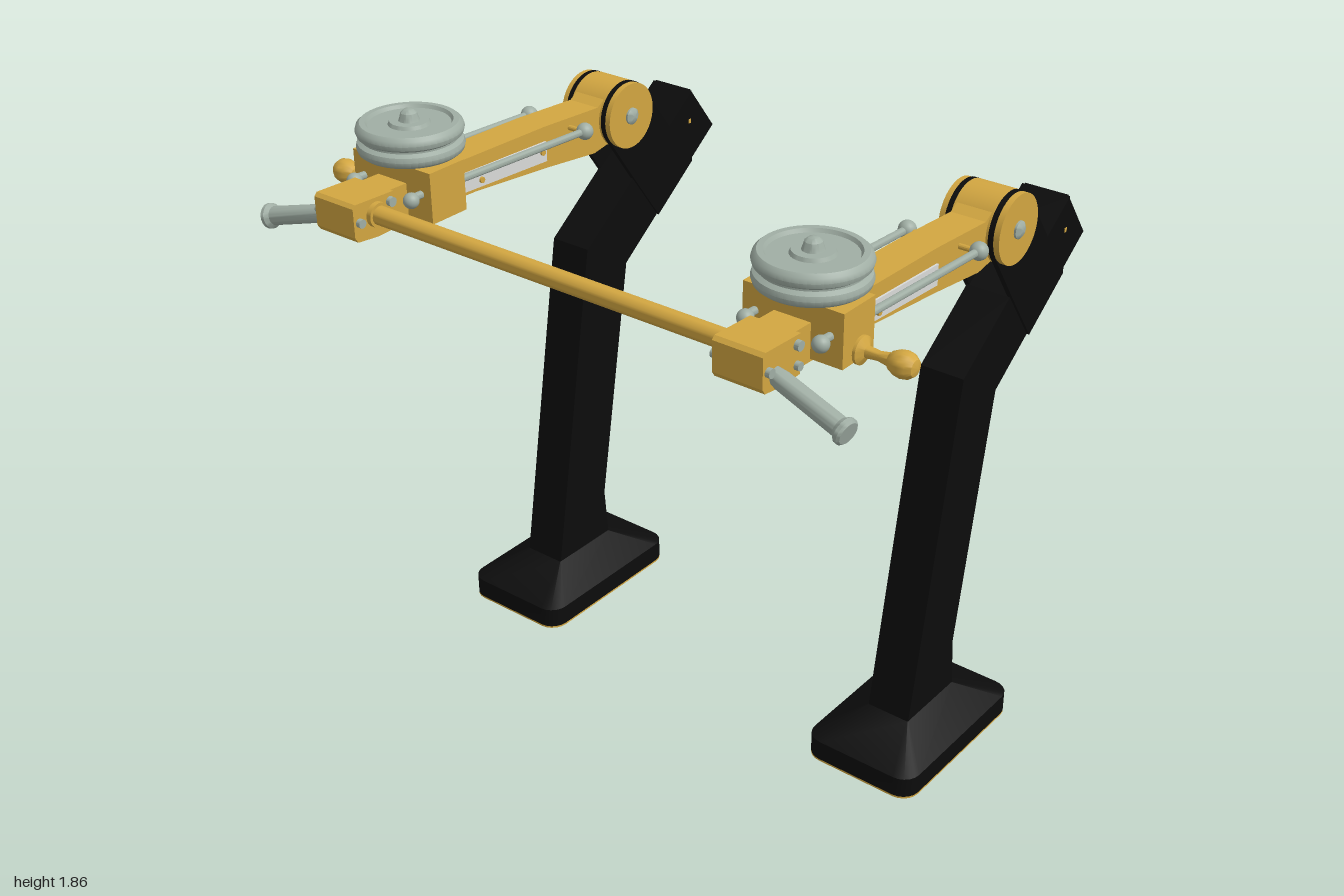
import * as THREE from 'three';
import { toCreasedNormals } from 'three/addons/utils/BufferGeometryUtils.js';

const material = (name, color) => Object.assign(new THREE.MeshStandardMaterial({ color }), { name });
const V = (x, y, z) => new THREE.Vector3(x, y, z);

// Side profile of [z, y] points, extruded along x and centred on x
function slab(points, width, x = 0) {
  const shape = new THREE.Shape(points.map(p => new THREE.Vector2(p[0], p[1])));
  const geo = new THREE.ExtrudeGeometry(shape, { depth: width, bevelEnabled: false });
  return geo.translate(0, 0, -width / 2).rotateY(-Math.PI / 2).translate(x, 0, 0);
}

// Rounded rectangular rings [halfX, halfZ, y, cornerRadius] joined into a skin
function loft(rings, cz) {
  const pos = [], index = [], n = 24;
  for (const [hx, hz, y, r] of rings) {
    for (let i = 0; i < n; i++) {
      const q = Math.floor(i / 6), a = (q + (i % 6) / 5) * Math.PI / 2;
      const sx = q === 0 || q === 3 ? 1 : -1, sz = q < 2 ? -1 : 1;
      pos.push(sx * (hx - r) + r * Math.cos(a), y, cz + sz * (hz - r) - r * Math.sin(a));
    }
  }
  for (let k = 0; k < rings.length - 1; k++) {
    for (let i = 0; i < n; i++) {
      const a = k * n + i, b = k * n + (i + 1) % n;
      index.push(a, b, b + n, a, b + n, a + n);
    }
  }
  const geo = new THREE.BufferGeometry();
  geo.setAttribute('position', new THREE.Float32BufferAttribute(pos, 3));
  geo.setIndex(index);
  return toCreasedNormals(geo, 0.5);
}

// Turned part: [radius, height] profile whose axis runs from one point towards another
function turned(profile, from, to, segments = 32) {
  const geo = toCreasedNormals(
    new THREE.LatheGeometry(profile.map(p => new THREE.Vector2(p[0], p[1])), segments), 0.6);
  const dir = to.clone().sub(from).normalize();
  geo.applyQuaternion(new THREE.Quaternion().setFromUnitVectors(V(0, 1, 0), dir));
  return geo.translate(from.x, from.y, from.z);
}
const rod = (from, to, r, segments = 24) => {
  const l = from.distanceTo(to);
  return turned([[0, 0], [r, 0], [r, l], [0, l]], from, to, segments);
};
const ball = (p, r) => new THREE.SphereGeometry(r, 20, 14).translate(p.x, p.y, p.z);
const box = (w, h, d, x, y, z) => new THREE.BoxGeometry(w, h, d).translate(x, y, z);

export function createModel() {
  const black = material('black', 0x0c0c0c);
  const gold = material('gold', 0xd2a641);
  const grey = material('grey green metal', 0xa0aea4);
  const white = material('pale plate', 0xd9dad8);
  const model = new THREE.Group();
  const add = (group, name, geo, mat) => {
    const mesh = new THREE.Mesh(geo, mat);
    mesh.name = name;
    group.add(mesh);
  };

  // One stand; s is the outward direction along x
  function stand(s) {
    const g = new THREE.Group();
    g.name = s > 0 ? 'leftStand' : 'rightStand';
    g.position.x = s * 0.685;

    // Foot with a recessed underside
    const cz = -0.0925;
    add(g, 'foot', loft([[0.185, 0.288, 0.006, 0.055], [0.185, 0.288, 0.07, 0.055],
      [0.07, 0.1235, 0.14, 0.004]], cz), black);
    add(g, 'footUnderside', loft([[0, 0, 0.015, 0], [0.025, 0.04, 0.015, 0], [0.07, 0.1, 0.045, 0],
      [0.14, 0.24, 0.045, 0.03], [0.15, 0.25, 0, 0.04], [0.185, 0.288, 0, 0.055],
      [0.185, 0.288, 0.006, 0.055]], cz), gold);
    for (const x of [-1, 1]) for (const z of [-1, 1]) {
      add(g, 'footBolt', rod(V(x * 0.11, 0.03, cz + z * 0.2), V(x * 0.11, 0.05, cz + z * 0.2), 0.014, 16), gold);
    }

    // Bent leg, sleeve and fork
    add(g, 'leg', slab([[0.03, 0.13], [-0.156, 1.21], [-0.38, 1.375], [-0.556, 1.5], [-0.673, 1.585],
      [-0.79, 1.43], [-0.34, 1.097], [-0.2, 0.3], [-0.215, 0.13]], 0.14), black);
    add(g, 'sleeve', slab([[-0.38, 1.375], [-0.556, 1.5], [-0.67, 1.583], [-0.67, 1.342], [-0.497, 1.213]], 0.156), black);
    add(g, 'sleeveScrew', box(0.158, 0.014, 0.012, 0, 1.483, -0.66), gold);
    const py = 1.6, pz = -0.35;
    for (const x of [-1, 1]) {
      add(g, 'forkPlate', slab([[-0.266, 1.537], [-0.38, 1.375], [-0.556, 1.5], [-0.434, 1.663]], 0.016, x * 0.07), black);
      add(g, 'forkEye', rod(V(x * 0.062, py, pz), V(x * 0.078, py, pz), 0.105, 40), black);
      add(g, 'pivotCap', rod(V(x * 0.078, py, pz), V(x * 0.096, py, pz), 0.103, 40), gold);
      add(g, 'pivotBolt', turned([[0.026, 0], [0.026, 0.006], [0.016, 0.013], [0, 0.015]],
        V(x * 0.096, py, pz), V(x, py, pz)), grey);
    }
    add(g, 'pivotDrum', rod(V(-0.062, py, pz), V(0.062, py, pz), 0.105, 40), gold);

    // Arm and front clamp
    add(g, 'arm', slab([[0.65, 1.675], [0, 1.663], [-0.24, 1.65], [-0.3, 1.685], [-0.35, 1.6], [-0.29, 1.52],
      [-0.22, 1.508], [0, 1.532], [0.3, 1.558], [0.65, 1.57]], 0.11), gold);
    add(g, 'frontClamp', slab([[0.785, 1.675], [0.775, 1.685], [0.635, 1.68], [0.635, 1.57],
      [0.7, 1.567], [0.775, 1.575], [0.785, 1.59]], 0.15), gold);

    for (const x of [-1, 1]) {
      // Side plates, guide rods and fittings
      add(g, 'sidePlate', slab([[0.44, 1.632], [0, 1.618], [0, 1.556], [0.44, 1.576]], 0.006, x * 0.058), white);
      for (const z of [0.02, 0.28]) {
        add(g, 'plateScrew', rod(V(x * 0.06, 1.59, z), V(x * 0.068, 1.59, z), 0.009, 12), gold);
      }
      add(g, 'guideRod', rod(V(x * 0.112, 1.657, 0.61), V(x * 0.112, 1.627, -0.13), 0.011, 16), grey);
      add(g, 'rodPin', rod(V(x * 0.05, 1.627, -0.11), V(x * 0.112, 1.627, -0.11), 0.008, 12), gold);
      add(g, 'rodKnob', ball(V(x * 0.112, 1.627, -0.115), 0.026), grey);
      add(g, 'rodEnd', ball(V(x * 0.112, 1.65, 0.605), 0.023), grey);
      for (const [z, y, r] of [[0.765, 1.63, 0.013], [0.65, 1.655, 0.014], [0.65, 1.6, 0.012]]) {
        add(g, 'clampBolt', rod(V(x * 0.07, y, z), V(x * 0.088, y, z), r, 16), grey);
      }
    }

    // Sliding collar with its side knob
    add(g, 'collar', box(0.3, 0.15, 0.132, 0, 1.65, 0.5), gold);
    add(g, 'sideKnob', turned([[0, 0], [0.038, 0], [0.038, 0.008], [0.016, 0.02], [0.013, 0.055],
      [0.018, 0.085], [0.024, 0.09], [0.033, 0.108], [0.036, 0.125], [0.033, 0.143], [0.022, 0.158], [0, 0.165]],
      V(s * 0.15, 1.6, 0.49), V(s, 1.6, 0.49)), gold);

    // Double weight disc on top of the collar
    const disc = [[0, 0], [0.138, 0], [0.148, 0.008], [0.152, 0.021], [0.148, 0.034], [0.136, 0.042],
      [0.136, 0.047], [0.148, 0.055], [0.152, 0.068], [0.148, 0.081], [0.138, 0.09], [0.122, 0.09], [0.116, 0.08],
      [0.06, 0.08], [0.055, 0.09], [0.03, 0.09], [0.026, 0.1], [0.023, 0.112], [0.013, 0.121], [0, 0.123]];
    add(g, 'weightDisc', turned(disc, V(0, 1.732, 0.485), V(0, 3, 0.485), 48), grey);
    add(g, 'discStem', rod(V(0, 1.71, 0.485), V(0, 1.74, 0.485), 0.04), grey);

    // Outward hand grip
    add(g, 'handGrip', turned([[0, 0], [0.022, 0], [0.026, 0.03], [0.027, 0.22], [0.036, 0.232],
      [0.036, 0.242], [0.03, 0.248], [0, 0.248]],
      V(s * 0.068, 1.61, 0.733), V(s * 0.31, 1.545, 0.765)), grey);
    model.add(g);
  }
  stand(1);
  stand(-1);

  // Bar joining both stands
  add(model, 'crossBar', rod(V(-0.63, 1.635, 0.703), V(0.63, 1.635, 0.703), 0.027), gold);
  for (const s of [-1, 1]) {
    add(model, 'barCollar', rod(V(s * 0.595, 1.635, 0.703), V(s * 0.612, 1.635, 0.703), 0.036), gold);
  }
  return model;
}
